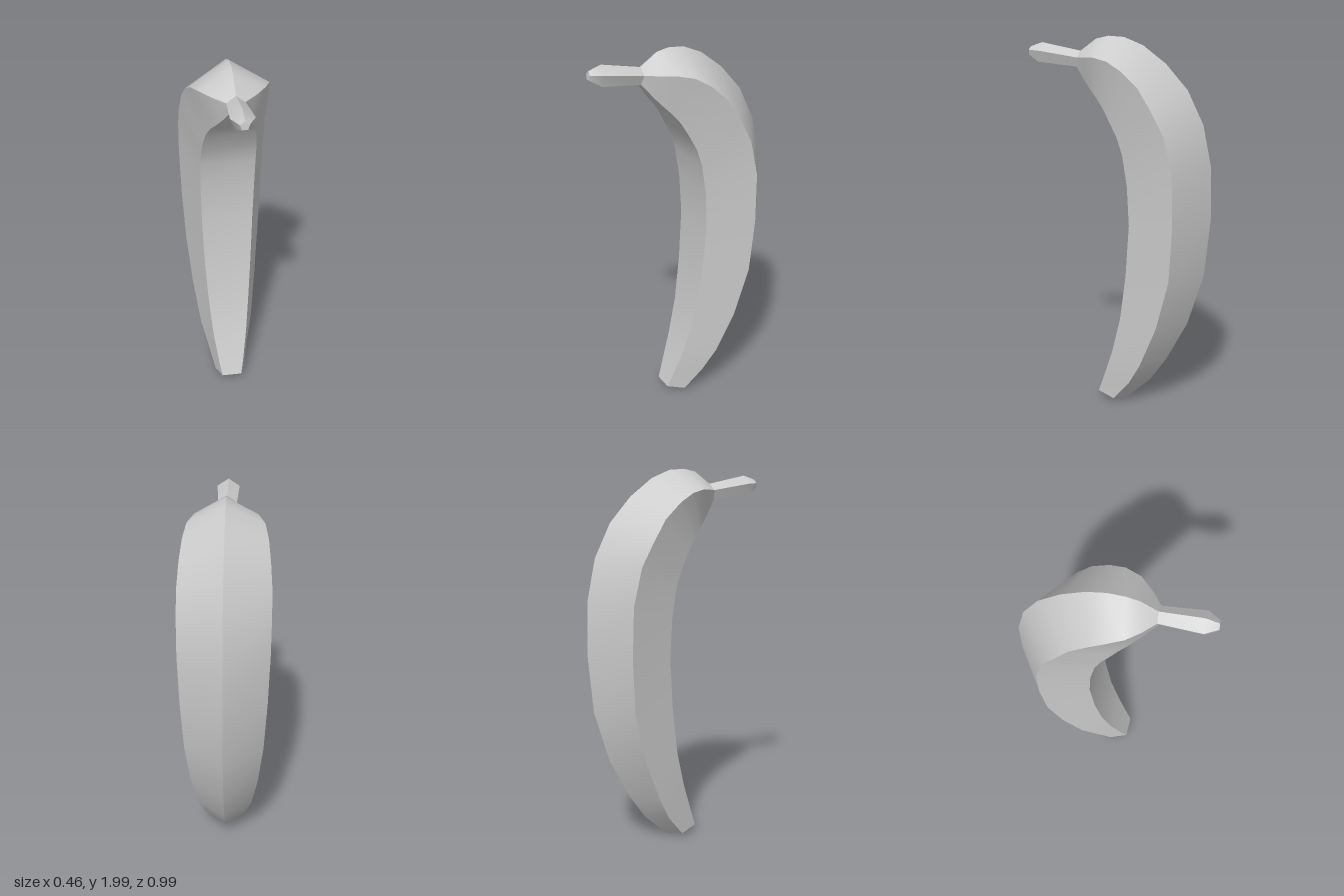
import * as THREE from 'three';

// Each station: [back z, back y, side half width, side z, side y, inner half width, inner z, inner y]
const bodyStations = [
  [-0.04, 0.01, 0.085, 0.015, 0.03, 0.055, 0.11, 0.055],
  [-0.17, 0.13, 0.117, -0.08, 0.145, 0.07, 0.08, 0.135],
  [-0.26, 0.26, 0.15, -0.15, 0.27, 0.095, 0.02, 0.31],
  [-0.375, 0.48, 0.182, -0.245, 0.5, 0.113, -0.03, 0.51],
  [-0.46, 0.76, 0.207, -0.315, 0.77, 0.128, -0.065, 0.76],
  [-0.49, 1.07, 0.222, -0.335, 1.065, 0.138, -0.085, 1.04],
  [-0.485, 1.34, 0.23, -0.33, 1.335, 0.143, -0.075, 1.25],
  [-0.44, 1.56, 0.232, -0.285, 1.53, 0.144, -0.05, 1.41],
  [-0.355, 1.735, 0.231, -0.22, 1.65, 0.142, -0.02, 1.5],
  [-0.24, 1.865, 0.222, -0.15, 1.76, 0.136, 0.02, 1.575],
  [-0.12, 1.955, 0.21, -0.06, 1.84, 0.124, 0.06, 1.645],
  [-0.02, 1.995, 0.193, 0.02, 1.885, 0.107, 0.1, 1.695],
  [0.065, 2.0, 0.16, 0.1, 1.9, 0.086, 0.135, 1.73],
  [0.13, 1.985, 0.105, 0.165, 1.895, 0.06, 0.175, 1.775],
  [0.215, 1.922, 0.045, 0.22, 1.89, 0.027, 0.228, 1.842],
];
const stemStations = [
  bodyStations[bodyStations.length - 1],
  [0.425, 1.962, 0.058, 0.43, 1.922, 0.036, 0.435, 1.863],
  [0.49, 1.94, 0.022, 0.493, 1.922, 0.014, 0.495, 1.897],
];

// Five-sided ring, symmetric about x = 0
const ring = ([bz, by, sw, sz, sy, iw, iz, iy]) => [
  [0, by, bz], [sw, sy, sz], [iw, iy, iz], [-iw, iy, iz], [-sw, sy, sz],
];

// Loft the rings; every side is its own strip, smooth lengthwise with crisp ridges
function loft(stations, capStart, capEnd) {
  const rings = stations.map(ring);
  const positions = [], index = [];
  for (let k = 0; k < 5; k++) {
    const base = positions.length / 3;
    rings.forEach((r, i) => {
      positions.push(...r[k], ...r[(k + 1) % 5]);
      if (i === rings.length - 1) return;
      const a = base + i * 2, b = a + 1, c = a + 2, d = a + 3;
      index.push(a, c, b, b, c, d);
    });
  }
  const cap = (r) => {
    const base = positions.length / 3;
    r.forEach((p) => positions.push(...p));
    for (let k = 1; k < 4; k++) index.push(base, base + k, base + k + 1);
  };
  if (capStart) cap(rings[0]);
  if (capEnd) cap([...rings[rings.length - 1]].reverse());
  const geometry = new THREE.BufferGeometry();
  geometry.setAttribute('position', new THREE.Float32BufferAttribute(positions, 3));
  geometry.setIndex(index);
  geometry.computeVertexNormals();
  return geometry;
}

export function createModel() {
  const group = new THREE.Group();
  group.name = 'banana';
  const material = new THREE.MeshStandardMaterial({ color: 0xcccccc });
  const add = (name, geometry) => {
    const mesh = new THREE.Mesh(geometry, material);
    mesh.name = name;
    group.add(mesh);
  };
  // Curved fruit with a blunt lower tip
  add('fruitBody', loft(bodyStations, true, false));
  // Short stem flaring toward its cut end
  add('stem', loft(stemStations, false, true));
  return group;
}
